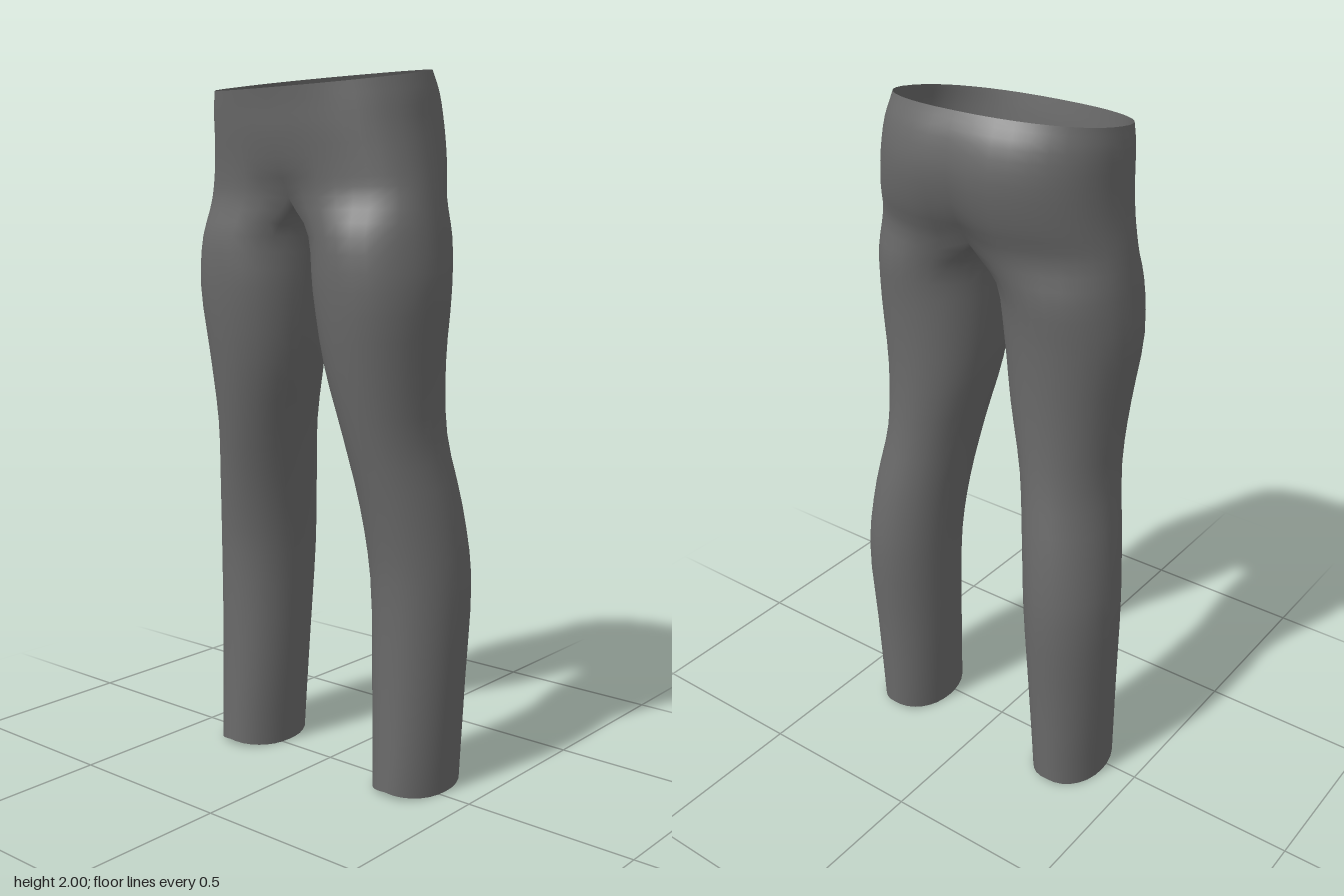
import * as THREE from 'three';
import { mergeGeometries, mergeVertices } from 'three/addons/utils/BufferGeometryUtils.js';

const OUTER = 20, INNER = 10, STEPS = 3; // columns outside / inside the leg, samples per row

// leg sections: y, inner x, outer x, front z, back z
const LEG = [
  [0.01, 0.19, 0.402, 0.12, -0.18],
  [0.3, 0.172, 0.415, 0.105, -0.19],
  [0.6, 0.158, 0.422, 0.105, -0.208],
  [0.8, 0.14, 0.4, 0.13, -0.193],
  [1.0, 0.108, 0.368, 0.168, -0.162],
  [1.2, 0.058, 0.377, 0.203, -0.152],
  [1.4, 0.028, 0.4, 0.227, -0.157],
  [1.54, 0.01, 0.392, 0.226, -0.17],
];
// hip sections: y, tilt, half width, front z, back z, front dip, back dip at the centre
const HIP = [
  [1.645, 0, 0.377, 0.22, -0.195, 0.045, 0.05],
  [1.73, 0.04, 0.362, 0.223, -0.23, 0.01, 0.025],
  [1.83, 0.08, 0.348, 0.235, -0.25, 0, 0.012],
  [1.91, 0.12, 0.34, 0.243, -0.235, 0, 0.006],
  [1.968, 0.155, 0.328, 0.25, -0.2, 0, 0],
];

function legPoint([y, xi, xo, zf, zb], c) {
  const a = c <= OUTER ? 125 - 250 * c / OUTER : -125 - 110 * (c - OUTER) / INNER;
  const r = THREE.MathUtils.degToRad(a);
  return new THREE.Vector3((xi + xo) / 2 + (xo - xi) / 2 * Math.cos(r), y,
    (zf + zb) / 2 + (zf - zb) / 2 * Math.sin(r));
}

function hipPoint([y, tilt, w, zf, zb, df, db], c) {
  const a = Math.PI * c / OUTER, k = Math.cos(a), zc = 0.03;
  const x = c % OUTER ? w * Math.sin(a) ** 0.88 : 0;
  const dip = Math.exp(-((x / 0.08) ** 2));
  const z = k > 0 ? zc + (zf - zc) * k ** 0.88 - df * dip
    : zc + (zb - zc) * (-k) ** 0.88 + db * dip;
  return new THREE.Vector3(x, y - tilt * z, z);
}

// crotch seam running from back to front under the hips
function seamPoint(c) {
  const s = (c - OUTER) / INNER;
  const z = THREE.MathUtils.lerp(hipPoint(HIP[0], OUTER).z, hipPoint(HIP[0], 0).z, s);
  return new THREE.Vector3(0, HIP[0][0] - 0.05 * Math.sin(Math.PI * s), z);
}

// one half of the garment: leg tube that opens into half of the hips
function halfGeometry(side) {
  const columns = OUTER + INNER, pos = [], index = [], grid = [];
  for (let c = 0; c < columns; c++) {
    const pts = LEG.map(row => legPoint(row, c));
    if (c <= OUTER) pts.push(...HIP.map(row => hipPoint(row, c)));
    else pts.push(seamPoint(c));
    const curve = new THREE.CatmullRomCurve3(pts, false, 'centripetal');
    const n = (pts.length - 1) * STEPS;
    grid.push([]);
    for (let r = 0; r <= n; r++) {
      const p = curve.getPoint(r / n);
      const onCentre = r >= LEG.length * STEPS && (c === 0 || c >= OUTER);
      grid[c].push(pos.length / 3);
      pos.push(onCentre ? 0 : side * Math.max(p.x, 0.001), p.y, p.z);
    }
  }
  for (let c = 0; c < columns; c++) {
    const A = grid[c], B = grid[(c + 1) % columns];
    const rows = (c < OUTER ? LEG.length + HIP.length - 1 : LEG.length) * STEPS;
    for (let r = 0; r < rows; r++) {
      const q = [A[r], B[r], B[r + 1], A[r], B[r + 1], A[r + 1]];
      index.push(...(side > 0 ? q : q.reverse()));
    }
  }
  const g = new THREE.BufferGeometry();
  g.setAttribute('position', new THREE.Float32BufferAttribute(pos, 3));
  g.setIndex(index);
  return g;
}

export function createModel() {
  const cloth = new THREE.MeshStandardMaterial({ color: 0x696969, side: THREE.DoubleSide });
  cloth.name = 'grey cloth';

  // both halves welded along the centre so the shading stays smooth
  const geo = mergeVertices(mergeGeometries([halfGeometry(1), halfGeometry(-1)]), 1e-4);
  const p = geo.attributes.position;
  for (let i = 0; i < p.count; i++) {
    // waist sits slightly off centre
    p.setX(i, p.getX(i) - 0.01 * THREE.MathUtils.smoothstep(p.getY(i), 1.7, 1.95));
    // hem arches a little at the front and back of each ankle
    if (p.getY(i) < 0.02) p.setY(i, 0.018 * Math.max(0, 1 - Math.abs(Math.abs(p.getX(i)) - 0.296) / 0.1));
  }
  geo.computeVertexNormals();

  const trousers = new THREE.Mesh(geo, cloth);
  trousers.name = 'trousers';
  const model = new THREE.Group();
  model.name = 'trousersModel';
  model.add(trousers);
  return model;
}
